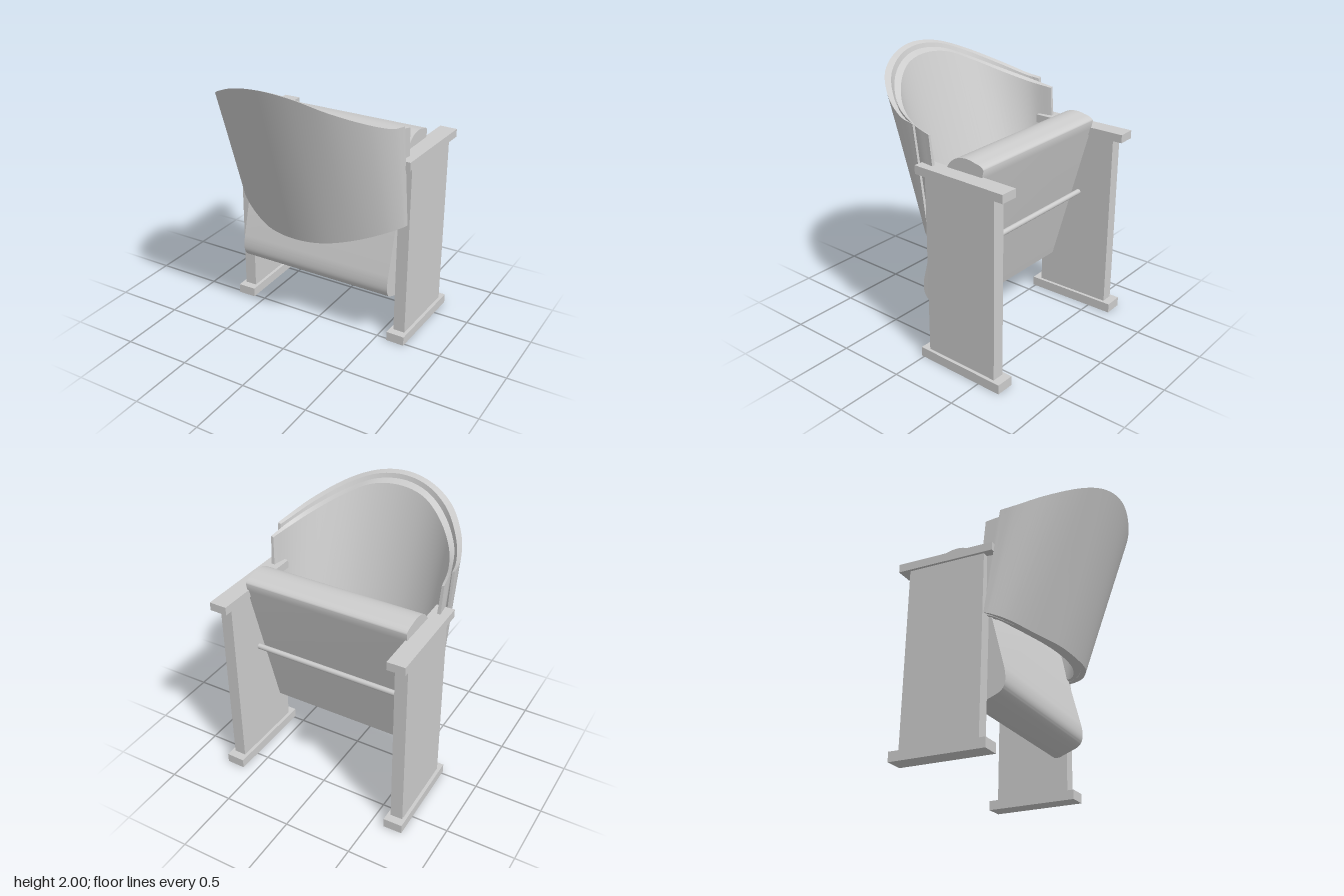
import * as THREE from 'three';
import { toCreasedNormals } from 'three/addons/utils/BufferGeometryUtils.js';

const grey = new THREE.MeshStandardMaterial({ color: 0xcccccc });
grey.name = 'light grey';

function add(parent, name, geometry, x = 0, y = 0, z = 0) {
  const mesh = new THREE.Mesh(geometry, grey);
  mesh.name = name;
  mesh.position.set(x, y, z);
  parent.add(mesh);
  return mesh;
}

// Samples a smooth rail mirrored about x = 0 from its centre-to-edge points
function rail(half, n) {
  const v = half.map(p => new THREE.Vector3(...p));
  const mirrored = v.slice(1).reverse().map(p => new THREE.Vector3(-p.x, p.y, p.z));
  return new THREE.CatmullRomCurve3([...mirrored, ...v], false, 'centripetal').getPoints(n);
}

// Curved slab between four rails: outer top, inner top, inner bottom, outer bottom
function curvedSlab(halves, n = 60) {
  const rails = halves.map(h => rail(h, n));
  const pos = [];
  const quad = (a, b, c, d) => {
    for (const p of [a, b, c, a, c, d]) pos.push(p.x, p.y, p.z);
  };
  for (let i = 0; i < n; i++) {
    for (let k = 0; k < 4; k++) {
      const r = rails[k], s = rails[(k + 1) % 4];
      quad(r[i], r[i + 1], s[i + 1], s[i]);
    }
  }
  const [a, b, c, d] = rails;
  quad(a[0], b[0], c[0], d[0]);
  quad(d[n], c[n], b[n], a[n]);
  const g = new THREE.BufferGeometry();
  g.setAttribute('position', new THREE.Float32BufferAttribute(pos, 3));
  return toCreasedNormals(g, 0.6);
}

export function createModel() {
  const model = new THREE.Group();
  model.name = 'foldingSeat';

  // Side stands, splayed very slightly
  for (const side of [1, -1]) {
    const stand = new THREE.Group();
    stand.name = side > 0 ? 'leftStand' : 'rightStand';
    stand.position.set(side * 0.66, 0, -0.335);
    stand.rotation.y = -0.018 * side;
    add(stand, 'foot', new THREE.BoxGeometry(0.138, 0.07, 0.7), 0, 0.035, 0.005);
    add(stand, 'sidePanel', new THREE.BoxGeometry(0.09, 1.31, 0.58), 0, 0.725, 0.005);
    add(stand, 'armrest', new THREE.BoxGeometry(0.13, 0.06, 0.73), 0, 1.41, 0);
    model.add(stand);
  }

  // Folded-up seat: side profile drawn in z and y
  const profile = new THREE.Shape();
  profile.moveTo(-0.14, 0.335);
  profile.lineTo(-0.1, 0.335);
  profile.lineTo(0.03, 0.385);
  profile.quadraticCurveTo(0.09, 0.41, 0.09, 0.48);
  profile.quadraticCurveTo(0.09, 0.53, 0.075, 0.58);
  profile.lineTo(-0.15, 1.44);
  profile.bezierCurveTo(-0.19, 1.52, -0.28, 1.555, -0.38, 1.525);
  profile.quadraticCurveTo(-0.455, 1.515, -0.452, 1.485);
  profile.lineTo(-0.44, 1.43);
  profile.closePath();
  const seat = new THREE.ExtrudeGeometry(profile, { depth: 1.22, bevelEnabled: false, curveSegments: 12 });
  seat.rotateY(-Math.PI / 2);
  seat.translate(0.61, 0, 0);
  add(model, 'seat', toCreasedNormals(seat, 0.6));

  // Rod the seat pivots on
  const rod = new THREE.CylinderGeometry(0.02, 0.02, 1.26, 16);
  rod.rotateZ(Math.PI / 2);
  add(model, 'pivotRod', rod, 0, 0.91, -0.35);

  // Outer backrest shell
  add(model, 'backShell', curvedSlab([
    [[0, 2, 0.7], [0.21, 1.973, 0.67], [0.41, 1.895, 0.58], [0.59, 1.785, 0.37], [0.67, 1.715, 0.18], [0.685, 1.7, 0.07]],
    [[0, 1.985, 0.66], [0.2, 1.96, 0.63], [0.39, 1.88, 0.54], [0.565, 1.77, 0.34], [0.645, 1.705, 0.17], [0.665, 1.69, 0.07]],
    [[0, 0.82, 0.28], [0.2, 0.833, 0.26], [0.39, 0.865, 0.165], [0.565, 0.917, 0.05], [0.645, 0.94, -0.02], [0.665, 0.945, -0.04]],
    [[0, 0.81, 0.32], [0.21, 0.823, 0.295], [0.41, 0.857, 0.2], [0.59, 0.91, 0.08], [0.67, 0.935, -0.01], [0.685, 0.94, -0.04]],
  ]));

  // Backrest padding
  add(model, 'backPad', curvedSlab([
    [[0, 1.955, 0.645], [0.2, 1.93, 0.61], [0.38, 1.85, 0.52], [0.565, 1.74, 0.31], [0.645, 1.68, 0.1], [0.668, 1.65, -0.05]],
    [[0, 1.935, 0.59], [0.2, 1.91, 0.56], [0.37, 1.83, 0.47], [0.53, 1.73, 0.3], [0.615, 1.67, 0.12], [0.65, 1.645, -0.05]],
    [[0, 0.84, 0.22], [0.2, 0.85, 0.195], [0.37, 0.875, 0.13], [0.48, 0.9, 0.07], [0.57, 0.93, 0], [0.61, 0.95, -0.12]],
    [[0, 0.825, 0.28], [0.2, 0.835, 0.26], [0.38, 0.865, 0.17], [0.56, 0.915, 0.05], [0.635, 0.94, -0.03], [0.65, 0.95, -0.12]],
  ]));

  return model;
}
